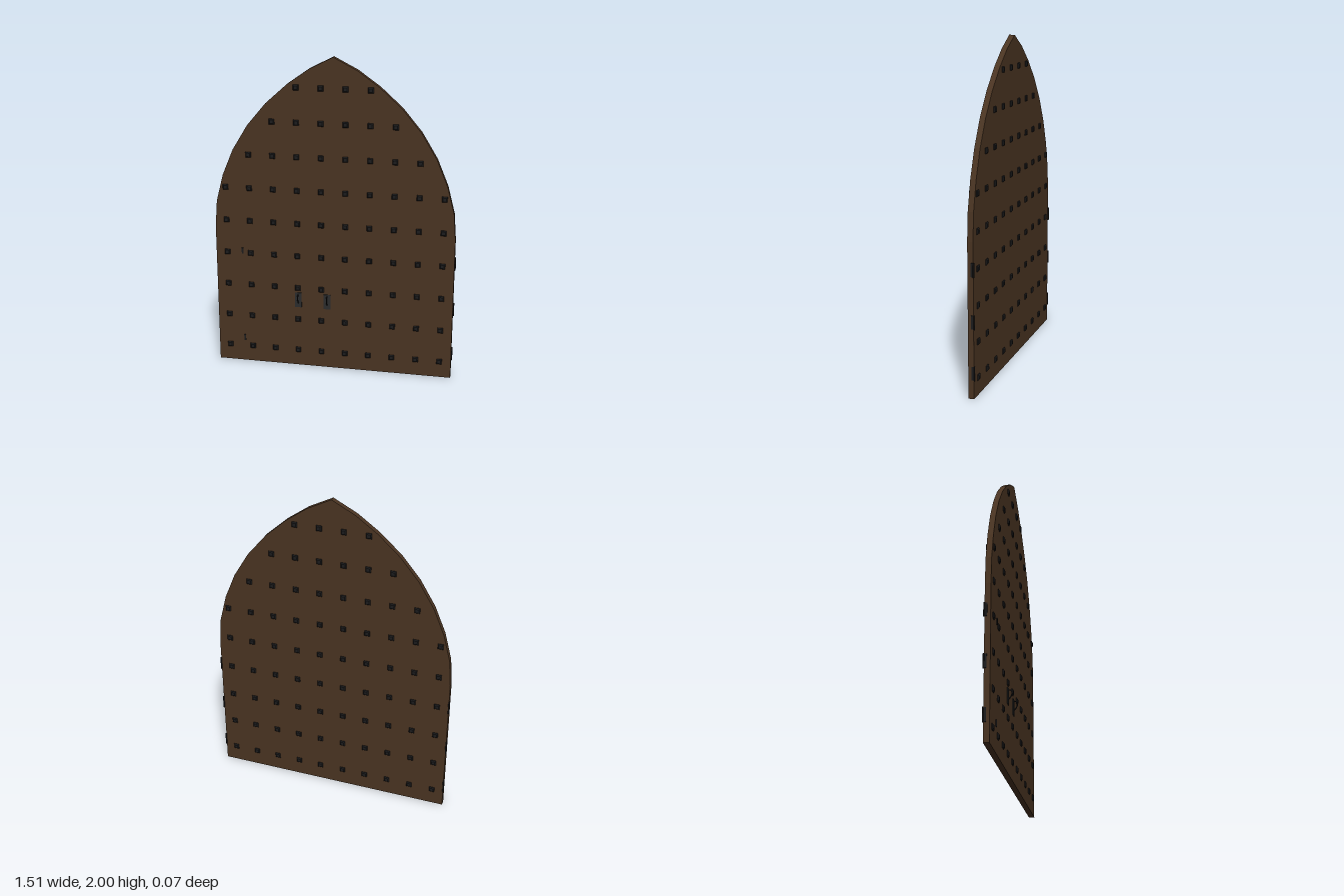
import * as THREE from 'three';

export function createModel() {
  const door = new THREE.Group();
  door.name = 'archedDoor';
  const material = (name, color) => {
    const m = new THREE.MeshStandardMaterial({ color });
    m.name = name;
    return m;
  };
  const wood = material('darkWood', 0x4a3422);
  const iron = material('blackIron', 0x1c1c1d);
  const plateIron = material('greyIron', 0x2b2c2d);

  const add = (name, geometry, mat, x, y, z, parent = door) => {
    const mesh = new THREE.Mesh(geometry, mat);
    mesh.name = name;
    mesh.position.set(x, y, z);
    parent.add(mesh);
    return mesh;
  };

  const BACK = -0.026, FRONT = 0.008, MID = (BACK + FRONT) / 2;

  // Pointed-arch slab, mirrored from its left half outline
  const half = [
    [0.75, 0], [0.75, 0.915], [0.737, 1.08], [0.693, 1.25], [0.625, 1.413],
    [0.53, 1.57], [0.413, 1.71], [0.28, 1.83], [0.145, 1.926],
  ];
  const outline = [
    ...half, [0, 2],
    ...half.map(([x, y]) => [-x, y]).reverse(),
  ].map(([x, y]) => new THREE.Vector2(x, y));
  const slab = new THREE.ExtrudeGeometry(new THREE.Shape(outline), {
    depth: FRONT - BACK, bevelEnabled: false,
  });
  add('slab', slab, wood, 0, 0, BACK);

  // Square studs with chamfered heads, passing through to both faces
  const r = Math.SQRT1_2 * 2;
  const profile = [
    [0, -0.027], [0.011 * r, -0.027], [0.017 * r, -0.021],
    [0.017 * r, 0.021], [0.011 * r, 0.027], [0, 0.027],
  ].map(([x, y]) => new THREE.Vector2(x, y));
  const stud = new THREE.LatheGeometry(profile, 4, Math.PI / 4).toNonIndexed();
  stud.computeVertexNormals();
  stud.rotateX(Math.PI / 2);
  const columnsPerSide = [5, 5, 5, 5, 5, 5, 4, 3, 2];
  const studs = new THREE.Group();
  studs.name = 'studs';
  door.add(studs);
  columnsPerSide.forEach((count, row) => {
    for (let i = 0; i < count; i++) {
      for (const side of [-1, 1]) {
        add('stud', stud, iron, side * (0.0753 + 0.1506 * i), 0.107 + 0.2133 * row, MID, studs);
      }
    }
  });

  // Hinges on both edges: a knuckle at the back corner and a leaf on the edge
  const knuckle = new THREE.CylinderGeometry(0.005, 0.005, 0.084, 8);
  const leaf = new THREE.BoxGeometry(0.003, 0.08, 0.016);
  for (const side of [-1, 1]) {
    for (const y of [0.152, 0.453, 0.755]) {
      const hinge = new THREE.Group();
      hinge.name = 'hinge';
      hinge.position.set(side * 0.751, y, 0);
      door.add(hinge);
      add('hingeKnuckle', knuckle, iron, 0, 0, -0.028, hinge);
      add('hingeLeaf', leaf, iron, 0, 0, -0.019, hinge);
    }
  }

  // Two pull handles: a back plate with a curved grip
  const plate = new THREE.BoxGeometry(0.042, 0.098, 0.006);
  const grip = new THREE.TubeGeometry(new THREE.CatmullRomCurve3([
    [0, 0.034, 0], [0, 0.037, 0.012], [0, 0.028, 0.021], [0, 0.012, 0.0225],
    [0, -0.004, 0.016], [0, -0.018, 0.004], [0, -0.022, 0],
  ].map((p) => new THREE.Vector3(...p))), 20, 0.0035, 6);
  for (const x of [-0.223, -0.038]) {
    const handle = new THREE.Group();
    handle.name = 'handle';
    handle.position.set(x, 0.453, 0.01);
    door.add(handle);
    add('handlePlate', plate, plateIron, 0, 0, 0, handle);
    add('handleGrip', grip, iron, 0, 0, 0, handle);
  }

  // Small catches near the right edge
  const catchBox = new THREE.BoxGeometry(0.011, 0.038, 0.008);
  for (const y of [0.163, 0.76]) add('catch', catchBox, iron, -0.579, y, 0.01);

  return door;
}
